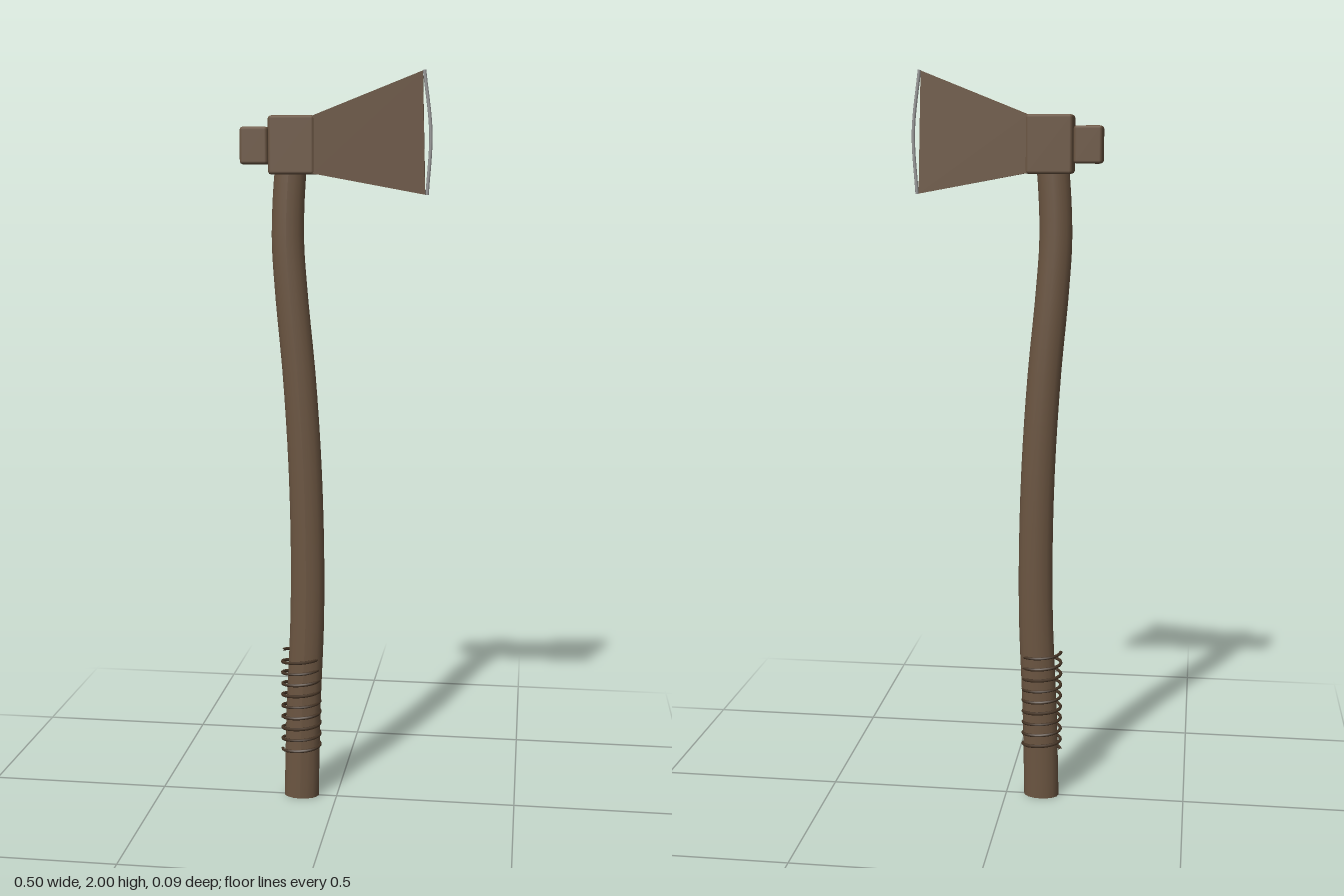
import * as THREE from 'three';
import { RoundedBoxGeometry } from 'three/addons/geometries/RoundedBoxGeometry.js';

function flatColour(name, color) {
  const material = new THREE.MeshStandardMaterial({ color });
  material.name = name;
  return material;
}
const brown = flatColour('brown', 0x6b5541);
const darkBrown = flatColour('dark brown', 0x453425);
const steel = flatColour('steel grey', 0x999999);

function part(name, geometry, material = brown) {
  const mesh = new THREE.Mesh(geometry, material);
  mesh.name = name;
  return mesh;
}

// Oval shaft whose rings follow a gentle S-curve
function handleGeometry() {
  const curve = new THREE.CatmullRomCurve3([
    [-0.1, 0], [-0.094, 0.25], [-0.083, 0.5], [-0.081, 0.7], [-0.087, 0.95],
    [-0.102, 1.2], [-0.122, 1.42], [-0.131, 1.57], [-0.124, 1.73], [-0.115, 1.8],
  ].map(([x, y]) => new THREE.Vector3(x, y, 0)));
  const geometry = new THREE.CylinderGeometry(1, 1, 1, 16, 32);
  const pos = geometry.attributes.position;
  for (let i = 0; i < pos.count; i++) {
    const t = pos.getY(i) + 0.5;
    const c = curve.getPoint(t);
    const rx = 0.049 - 0.007 * t;
    const rz = 0.033 - 0.003 * t;
    pos.setXYZ(i, c.x + pos.getX(i) * rx, c.y, pos.getZ(i) * rz);
  }
  geometry.computeVertexNormals();
  return geometry;
}

// Wire wound around the grip
function gripGeometry() {
  const turns = 9;
  const points = [];
  for (let i = 0; i <= turns * 16; i++) {
    const a = (i / 16) * Math.PI * 2;
    points.push(new THREE.Vector3(
      -0.1 - Math.cos(a) * 0.053,
      0.135 + (i / (turns * 16)) * 0.29,
      Math.sin(a) * 0.04,
    ));
  }
  return new THREE.TubeGeometry(new THREE.CatmullRomCurve3(points), turns * 24, 0.0045, 6);
}

// Flaring wedge: a unit box with each end set to its own height and thickness
function bladeGeometry() {
  const geometry = new THREE.BoxGeometry(1, 1, 1);
  const pos = geometry.attributes.position;
  for (let i = 0; i < pos.count; i++) {
    const edge = pos.getX(i) > 0;
    const top = pos.getY(i) > 0;
    const x = edge ? (top ? 0.225 : 0.234) : -0.06;
    const y = edge ? (top ? 1.998 : 1.682) : (top ? 1.884 : 1.737);
    pos.setXYZ(i, x, y, Math.sign(pos.getZ(i)) * (edge ? 0.005 : 0.041));
  }
  const flat = geometry.toNonIndexed();
  flat.computeVertexNormals();
  return flat;
}

export function createModel() {
  const axe = new THREE.Group();
  axe.name = 'axe';

  axe.add(part('handle', handleGeometry()));
  axe.add(part('gripWrap', gripGeometry(), darkBrown));

  // Head: socket around the handle, hammer poll behind, blade in front
  const socket = part('headSocket', new RoundedBoxGeometry(0.123, 0.152, 0.087, 1, 0.008));
  socket.position.set(-0.115, 1.81, 0);
  const poll = part('poll', new RoundedBoxGeometry(0.075, 0.097, 0.075, 1, 0.008));
  poll.position.set(-0.2155, 1.809, 0);
  axe.add(socket, poll, part('blade', bladeGeometry()));

  // Thin bowed cutting edge
  const edgeCurve = new THREE.CatmullRomCurve3([
    new THREE.Vector3(0.229, 2.0, 0),
    new THREE.Vector3(0.247, 1.84, 0),
    new THREE.Vector3(0.239, 1.681, 0),
  ]);
  axe.add(part('cuttingEdge', new THREE.TubeGeometry(edgeCurve, 16, 0.0045, 8), steel));

  return axe;
}
